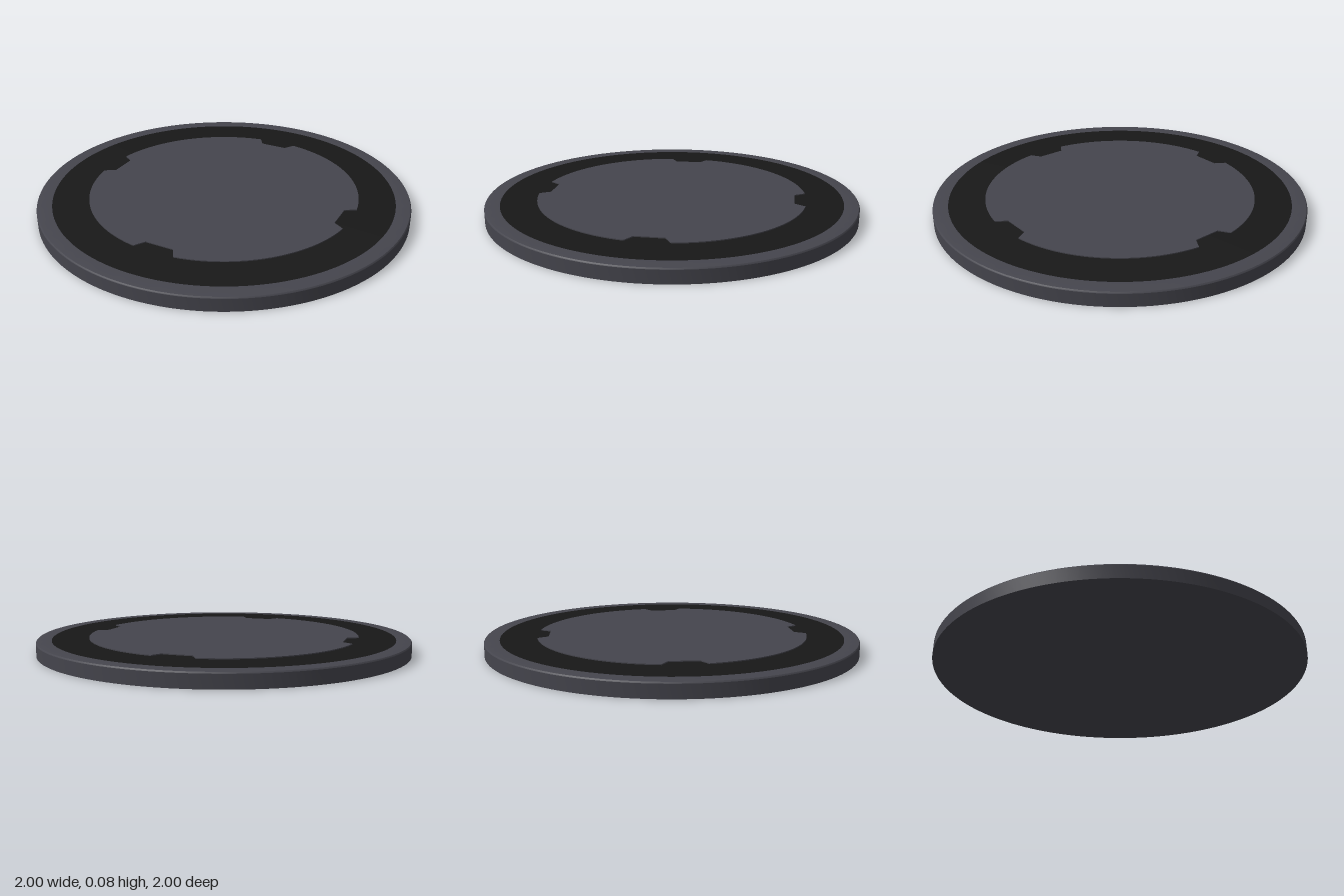
import * as THREE from 'three';
import { toCreasedNormals } from 'three/addons/utils/BufferGeometryUtils.js';

const SEGMENTS = 128;
const grey = new THREE.MeshStandardMaterial({ color: 0x45454d });
const black = new THREE.MeshStandardMaterial({ color: 0x181818 });

// Revolves a profile of [radius, height] pairs, keeping its corners sharp
function turned(name, profile, material) {
  const points = profile.map(([r, y]) => new THREE.Vector2(r, y));
  const mesh = new THREE.Mesh(toCreasedNormals(new THREE.LatheGeometry(points, SEGMENTS), 0.35), material);
  mesh.name = name;
  return mesh;
}

// Disc outline with four tapered notches
function notchedDisc(radius, depth, outerHalf, innerHalf) {
  const shape = new THREE.Shape();
  const notch = Math.asin(outerHalf / radius);
  const steps = 28;
  for (let q = 0; q < 4; q++) {
    const axis = q * Math.PI / 2;
    const put = (x, y) => {
      const px = x * Math.cos(axis) - y * Math.sin(axis);
      const py = x * Math.sin(axis) + y * Math.cos(axis);
      if (shape.curves.length === 0 && shape.currentPoint.length() === 0) shape.moveTo(px, py);
      else shape.lineTo(px, py);
    };
    put(depth, -innerHalf);
    put(depth, innerHalf);
    for (let i = 0; i <= steps; i++) {
      const a = notch + (Math.PI / 2 - 2 * notch) * i / steps;
      put(radius * Math.cos(a), radius * Math.sin(a));
    }
  }
  shape.closePath();
  return shape;
}

export function createModel() {
  const model = new THREE.Group();
  model.name = 'roundPad';

  // Body with a softened upper edge and a recess for the ring and plate
  model.add(turned('body', [
    [0, 0], [1, 0], [1, 0.067], [0.998, 0.071], [0.995, 0.074], [0.99, 0.075],
    [0.92, 0.075], [0.92, 0.06], [0, 0.06],
  ], grey));

  // Dark ring lying flush with the rim, running beneath the plate
  model.add(turned('gripRing', [[0.92, 0.06], [0.92, 0.075], [0.6, 0.075], [0.6, 0.06]], black));

  // Raised centre plate with four notches
  const plateGeometry = new THREE.ExtrudeGeometry(notchedDisc(0.727, 0.663, 0.11, 0.075), {
    depth: 0.02, bevelEnabled: false,
  });
  plateGeometry.rotateX(-Math.PI / 2).translate(0, 0.06, 0);
  const plate = new THREE.Mesh(toCreasedNormals(plateGeometry, 0.35), grey);
  plate.name = 'centrePlate';
  model.add(plate);

  return model;
}
